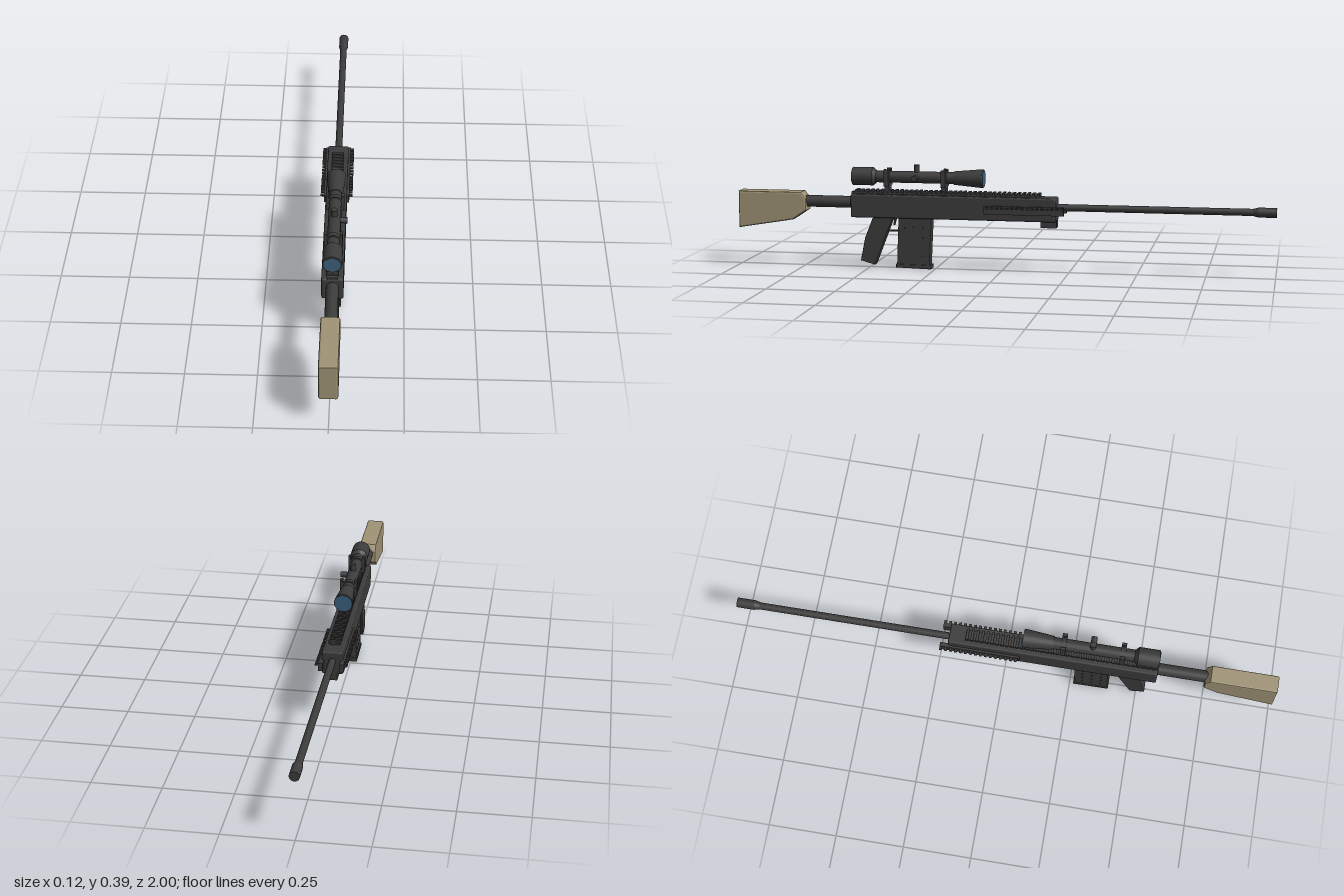
import * as THREE from 'three';
import { RoundedBoxGeometry } from 'three/addons/geometries/RoundedBoxGeometry.js';

const metal = new THREE.MeshStandardMaterial({ color: 0x3c3c3c });
metal.name = 'dark metal';
const tan = new THREE.MeshStandardMaterial({ color: 0xa09476 });
tan.name = 'tan stock';
const glass = new THREE.MeshStandardMaterial({ color: 0x3c607c });
glass.name = 'lens blue';

export function createModel() {
  const root = new THREE.Group();
  root.name = 'rifle';

  const add = (name, geo, mat = metal, x = 0, y = 0, z = 0) => {
    const m = new THREE.Mesh(geo, mat);
    m.name = name;
    m.position.set(x, y, z);
    root.add(m);
    return m;
  };
  // Box given by its limits on each axis, optionally rounded
  const box = (name, x0, x1, y0, y1, z0, z1, r = 0) => {
    const s = [x1 - x0, y1 - y0, z1 - z0];
    const geo = r ? new RoundedBoxGeometry(...s, 2, r) : new THREE.BoxGeometry(...s);
    return add(name, geo, metal, (x0 + x1) / 2, (y0 + y1) / 2, (z0 + z1) / 2);
  };
  // Cylinder along z; r0 belongs to z0 and r1 to z1
  const rod = (name, r0, r1, z0, z1, y, mat = metal) => {
    const geo = new THREE.CylinderGeometry(r1, r0, z1 - z0, 24).rotateX(Math.PI / 2);
    return add(name, geo, mat, 0, y, (z0 + z1) / 2);
  };
  // Side profile of [z, y] points given a width with bevelled edges
  const slab = (name, pts, half, bevel, mat = metal) => {
    const shape = new THREE.Shape(pts.map(p => new THREE.Vector2(...p)));
    const geo = new THREE.ExtrudeGeometry(shape, {
      depth: 2 * (half - bevel), bevelEnabled: bevel > 0, bevelSize: bevel,
      bevelThickness: bevel, bevelOffset: -bevel, bevelSegments: 2,
    });
    geo.translate(0, 0, bevel - half).rotateY(-Math.PI / 2);
    return add(name, geo, mat);
  };

  // Stock and its connecting tube
  slab('stock', [[1, 0.14], [1, 0.279], [0.757, 0.279], [0.738, 0.255], [0.738, 0.21], [0.79, 0.175]],
    0.033, 0.006, tan);
  rod('stockTube', 0.022, 0.022, 0.55, 0.76, 0.243);

  // Receiver
  box('receiver', -0.038, 0.038, 0.19, 0.277, -0.205, 0.565, 0.006);
  box('frontBlock', -0.018, 0.018, 0.166, 0.195, -0.205, -0.147);

  // Toothed rail on top
  box('topRail', -0.018, 0.018, 0.275, 0.284, -0.145, 0.565);
  for (let z = -0.138; z < 0.56; z += 0.0185) {
    box('topRailTooth', -0.022, 0.022, 0.282, 0.292, z - 0.005, z + 0.005);
  }

  // Toothed rails on both sides
  for (const s of [-1, 1]) {
    const side = (name, a, b, ...rest) => box(name, Math.min(s * a, s * b), Math.max(s * a, s * b), ...rest);
    side('sideRail', 0.03, 0.046, 0.215, 0.246, -0.235, 0.06);
    for (let z = -0.23; z < 0.06; z += 0.0185) {
      side('sideRailTooth', 0.044, 0.058, 0.236, 0.242, z - 0.005, z + 0.005);
    }
  }

  // Barrel and muzzle
  rod('barrel', 0.013, 0.013, -0.94, -0.19, 0.241);
  rod('muzzleTaper', 0.018, 0.013, -0.935, -0.915, 0.241);
  rod('muzzle', 0.018, 0.018, -1, -0.935, 0.241);

  // Grip and trigger guard
  slab('grip', [[0.48, 0.2], [0.515, 0.112], [0.532, 0.026], [0.478, 0.011], [0.405, 0.2]], 0.021, 0.003);
  box('triggerGuard', -0.008, 0.008, 0.136, 0.142, 0.375, 0.435);
  slab('trigger', [[0.405, 0.195], [0.41, 0.16], [0.404, 0.16], [0.395, 0.195]], 0.004, 0);

  // Magazine with base plate and rows of side studs
  slab('magazine', [[0.386, 0.195], [0.393, 0.01], [0.27, 0.006], [0.261, 0.195]], 0.022, 0.002);
  slab('magazineBase', [[0.396, 0.017], [0.396, 0.004], [0.264, 0], [0.264, 0.015]], 0.0245, 0.002);
  for (const s of [-1, 1]) {
    for (let row = 0; row < 4; row++) {
      for (let col = 0; col < 3; col++) {
        const y = 0.045 + row * 0.036, z = 0.295 + col * 0.035;
        box('magazineStud', s * 0.022 - 0.002, s * 0.022 + 0.002, y - 0.004, y + 0.004, z - 0.003, z + 0.003);
      }
    }
  }

  // Scope body with a lens at each end
  const sy = 0.341;
  rod('scopeTube', 0.022, 0.022, 0.16, 0.5, sy);
  rod('eyepieceTaper', 0.022, 0.034, 0.472, 0.485, sy);
  rod('eyepiece', 0.034, 0.034, 0.485, 0.562, sy);
  rod('objective', 0.035, 0.025, 0.07, 0.178, sy);
  rod('rearLens', 0.029, 0.029, 0.56, 0.564, sy, glass);
  rod('frontLens', 0.032, 0.032, 0.067, 0.071, sy, glass);

  // Scope knobs
  add('topKnob', new THREE.CylinderGeometry(0.011, 0.011, 0.04, 20), metal, 0, 0.367, 0.32);
  add('sideKnob', new THREE.CylinderGeometry(0.011, 0.011, 0.04, 20).rotateZ(Math.PI / 2), metal, 0.026, sy, 0.32);

  // Scope mounts
  for (const z of [0.215, 0.43]) {
    rod('mountRing', 0.027, 0.027, z - 0.009, z + 0.009, sy);
    box('mountFoot', -0.018, 0.018, 0.286, 0.32, z - 0.009, z + 0.009);
    box('mountBase', -0.026, 0.026, 0.308, 0.318, z - 0.009, z + 0.009);
    for (const s of [-1, 1]) {
      box('mountUpright', s * 0.027 - 0.005, s * 0.027 + 0.005, 0.308, 0.371, z - 0.009, z + 0.009);
    }
  }
  return root;
}
